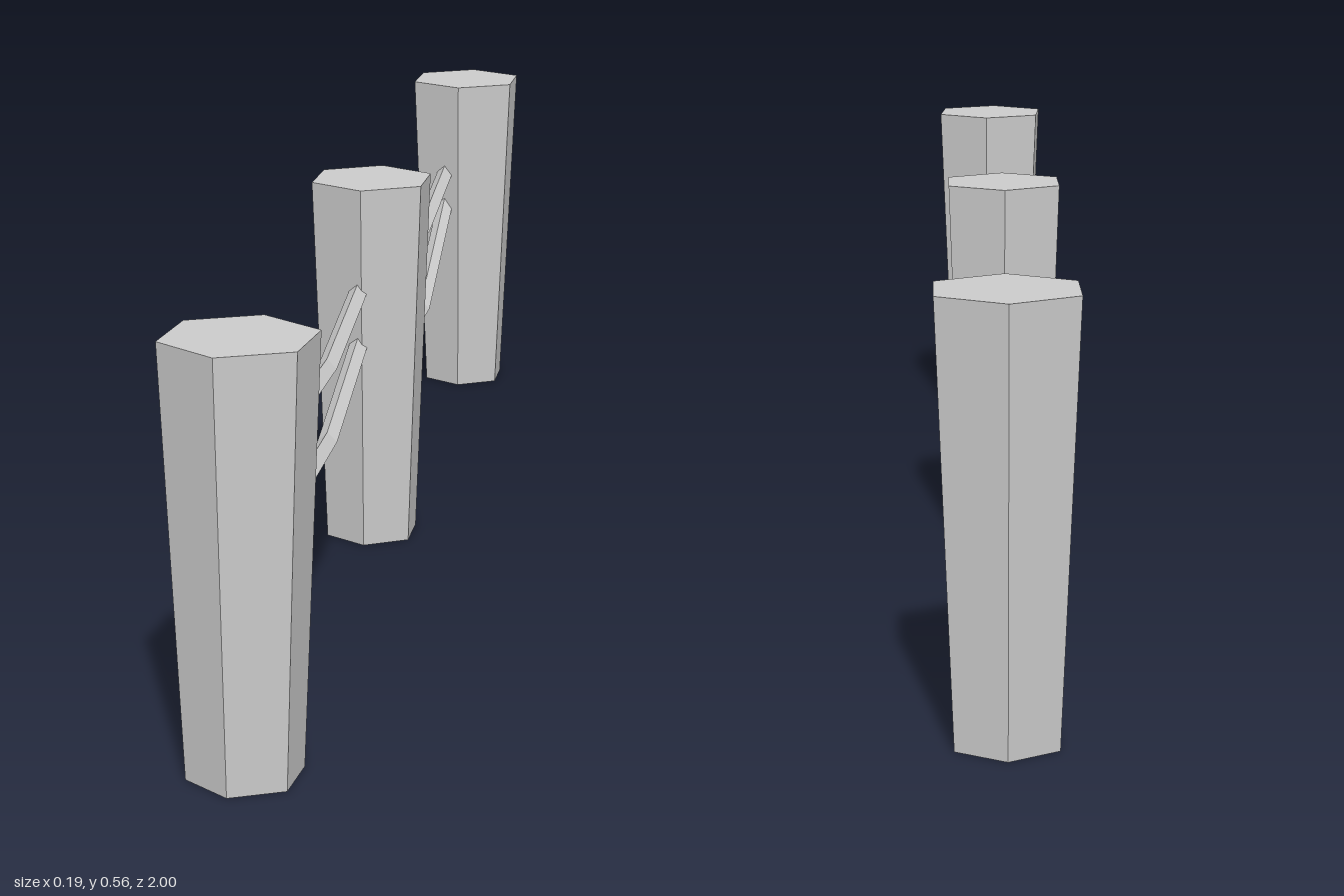
import * as THREE from 'three';

const HEIGHT = 0.56;
const material = new THREE.MeshStandardMaterial({
  color: 0xcccccc, flatShading: true, side: THREE.DoubleSide,
});

// Six-sided post, wider at the top, closed above and open below
function createPost(name, x, z, bottomRadius, topRadius, turn) {
  const profile = [[bottomRadius, 0], [topRadius, HEIGHT], [0, HEIGHT]]
    .map(([r, y]) => new THREE.Vector2(r, y));
  const post = new THREE.Mesh(new THREE.LatheGeometry(profile, 6), material);
  post.name = name;
  post.position.set(x, 0, z);
  post.rotation.y = THREE.MathUtils.degToRad(turn);
  return post;
}

// Sagging rope with a diamond section; path lists [z, y] from front to back
function createRope(name, x, path) {
  const sections = path.length - 1;
  const geometry = new THREE.BoxGeometry(0.02, 0.02, 1, 1, 1, sections);
  geometry.rotateZ(Math.PI / 4);
  const p = geometry.attributes.position;
  for (let i = 0; i < p.count; i++) {
    const [z, y] = path[Math.round((0.5 - p.getZ(i)) * sections)];
    p.setXYZ(i, p.getX(i) + x, p.getY(i) + y, z);
  }
  geometry.computeVertexNormals();
  const rope = new THREE.Mesh(geometry, material);
  rope.name = name;
  return rope;
}

export function createModel() {
  const model = new THREE.Group();
  model.name = 'ropeFence';

  // Posts
  model.add(
    createPost('frontPost', -0.0075, 0.9, 0.0755, 0.1, -5),
    createPost('middlePost', -0.01, -0.01, 0.073, 0.095, 0),
    createPost('backPost', 0.007, -0.9, 0.074, 0.1, 0),
  );

  // Ropes, with their ends sunk into the posts
  model.add(
    createRope('frontUpperRope', -0.017, [[0.84, 0.425], [0.585, 0.353], [0.313, 0.353], [0.05, 0.406]]),
    createRope('frontLowerRope', -0.017, [[0.84, 0.331], [0.59, 0.24], [0.313, 0.245], [0.05, 0.324]]),
    createRope('backUpperRope', -0.02, [[-0.07, 0.385], [-0.286, 0.353], [-0.56, 0.353], [-0.83, 0.4]]),
    createRope('backLowerRope', -0.02, [[-0.07, 0.32], [-0.286, 0.214], [-0.56, 0.214], [-0.83, 0.34]]),
  );
  return model;
}
